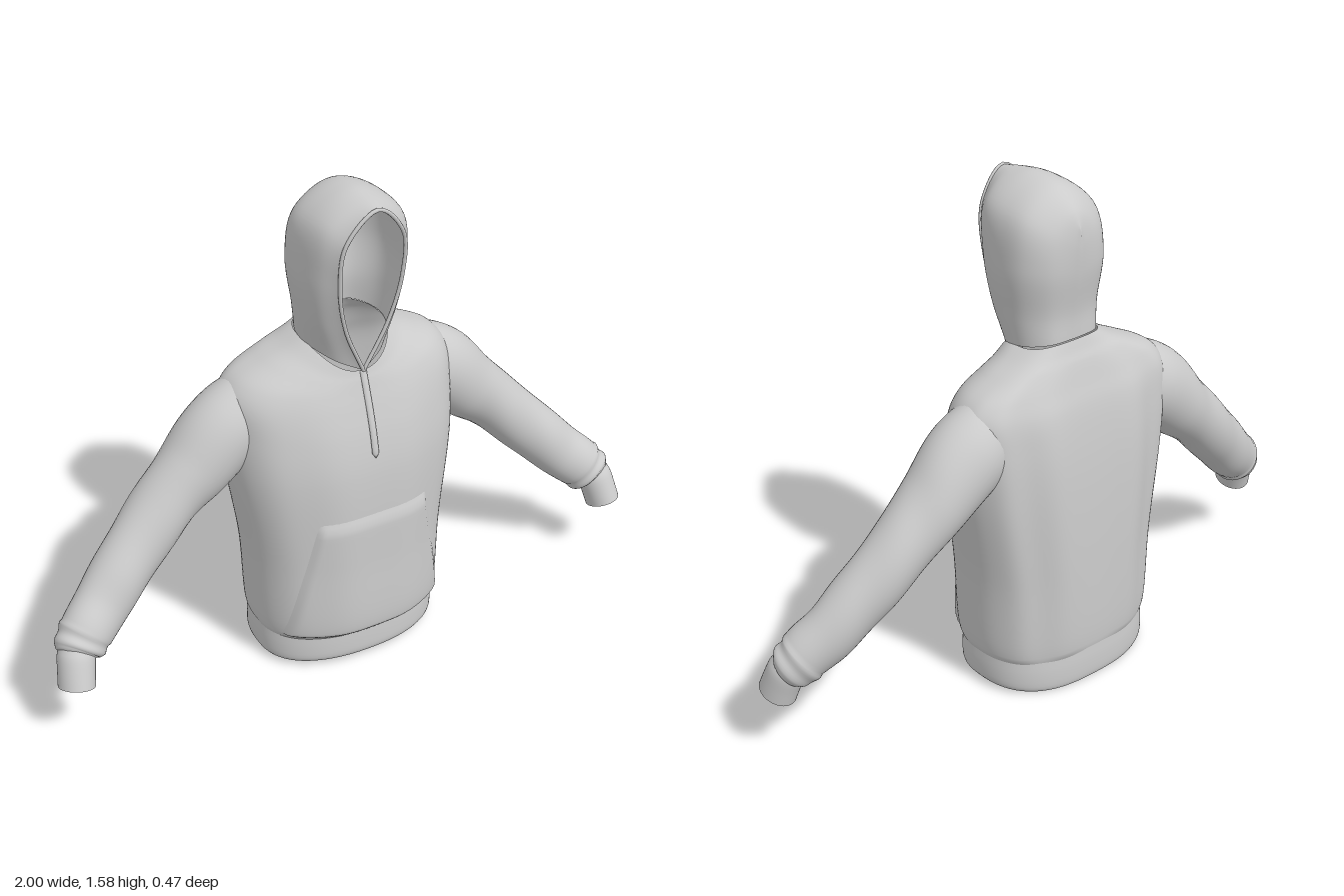
import * as THREE from 'three';
import { mergeVertices } from 'three/addons/utils/BufferGeometryUtils.js';

const V = (x, y, z) => new THREE.Vector3(x, y, z);
const cloth = new THREE.MeshStandardMaterial({ color: 0xcccccc, side: THREE.DoubleSide });

// Smooth surface from fn(u, v); coinciding border points are welded
function surface(name, fn, nu, nv) {
  const pos = [], index = [];
  for (let j = 0; j <= nv; j++)
    for (let i = 0; i <= nu; i++) pos.push(...fn(i / nu, j / nv).toArray());
  for (let j = 0; j < nv; j++)
    for (let i = 0; i < nu; i++) {
      const a = j * (nu + 1) + i, b = a + 1, c = a + nu + 1, d = c + 1;
      index.push(a, c, b, b, c, d);
    }
  let geo = new THREE.BufferGeometry();
  geo.setAttribute('position', new THREE.Float32BufferAttribute(pos, 3));
  geo.setIndex(index);
  geo = mergeVertices(geo, 1e-5);
  geo.computeVertexNormals();
  const mesh = new THREE.Mesh(geo, cloth);
  mesh.name = name;
  return mesh;
}

// Body rings: side y, front y, back y, half width, front z, back z, side z
const BODY = [
  [0.112, 0.115, 0.105, 0.296, 0.2, -0.222, 0],
  [0.14, 0.14, 0.135, 0.306, 0.219, -0.23, 0],
  [0.4, 0.4, 0.4, 0.322, 0.222, -0.235, 0],
  [0.7, 0.7, 0.7, 0.365, 0.213, -0.225, -0.02],
  [0.85, 0.82, 0.85, 0.375, 0.192, -0.21, -0.045],
  [0.95, 0.91, 0.94, 0.37, 0.165, -0.193, -0.055],
  [1.0, 0.96, 1.0, 0.335, 0.147, -0.172, -0.055],
  [1.045, 0.99, 1.06, 0.25, 0.136, -0.15, -0.045],
  [1.075, 1.005, 1.09, 0.185, 0.13, -0.135, -0.03],
  [1.105, 1.02, 1.122, 0.135, 0.125, -0.122, -0.01],
];
const HEM = [
  [0.018, 0.03, 0.005, 0.292, 0.197, -0.222, 0],
  [0.03, 0.042, 0.018, 0.3, 0.203, -0.226, 0],
  [0.075, 0.08, 0.07, 0.302, 0.204, -0.227, 0],
  [0.122, 0.125, 0.115, 0.298, 0.202, -0.224, 0],
];

// Point of a ring at angle a; a = PI / 2 is the front
function ringPoint([ys, yf, yb, w, f, b, zc], a) {
  const c = Math.cos(a), s = Math.sin(a), p = s > 0 ? 0.9 : 0.75;
  const k = Math.abs(s) ** p;
  return V(w * Math.sign(c) * Math.abs(c) ** p,
    ys + ((s > 0 ? yf : yb) - ys) * s * s,
    zc + ((s > 0 ? f : b) - zc) * k);
}
const column = (rings, a) => new THREE.CatmullRomCurve3(rings.map(r => ringPoint(r, a)));

// Body with soft vertical drape folds, strongest at the back
function bodyPoint(a, v) {
  const p = column(BODY, a).getPoint(v);
  const fade = Math.sin(Math.PI * Math.min(1, v * 1.25));
  const fold = (Math.sin(a) < 0 ? 0.008 : 0.003) * fade * Math.cos(a * 10) * Math.abs(Math.sin(a));
  p.x *= 1 + fold;
  p.z *= 1 + fold * 5;
  return p;
}

// Sleeve stations: centre x, y, z, then radius across and in depth
const SLEEVE = [
  [0.25, 0.9, -0.05, 0.12, 0.1], [0.35, 0.845, -0.052, 0.128, 0.118],
  [0.47, 0.74, -0.05, 0.11, 0.108], [0.58, 0.64, -0.042, 0.095, 0.095],
  [0.7, 0.52, -0.018, 0.092, 0.088], [0.8, 0.42, 0.012, 0.088, 0.08],
  [0.88, 0.347, 0.045, 0.083, 0.076], [0.918, 0.31, 0.063, 0.074, 0.068],
  [0.928, 0.298, 0.072, 0.055, 0.055],
];
const CUFF = [
  [0.922, 0.325, 0.066, 0.05, 0.05], [0.928, 0.3, 0.075, 0.056, 0.058],
  [0.938, 0.255, 0.092, 0.055, 0.06], [0.946, 0.215, 0.106, 0.054, 0.062],
];

// Tube with changing oval section; ripple(a, v) scales the radius
function tubePoint(stations, ripple) {
  const path = new THREE.CatmullRomCurve3(stations.map(s => V(s[0], s[1], s[2])));
  const radii = new THREE.CatmullRomCurve3(stations.map(s => V(s[3], s[4], s[0])));
  return (u, v) => {
    const a = u * Math.PI * 2, t = path.getTangent(v), r = radii.getPoint(v);
    const n = V(-t.y, t.x, 0).normalize(), b = t.clone().cross(n), k = 1 + ripple(a, v);
    return path.getPoint(v).addScaledVector(n, Math.cos(a) * r.x * k)
      .addScaledVector(b, Math.sin(a) * r.y * k);
  };
}
const sleeveFolds = (a, v) => Math.sin(Math.PI * v) * 0.035 * Math.sin(v * 34 + 2 * Math.sin(a + 1))
  * (0.6 + 0.4 * Math.cos(a * 2 + v * 6)) + (v > 0.75 ? 0.05 * Math.sin(v * 60 + a) * (1 - v) * 4 : 0);

// Hood sections from face opening to back seam, each from neck to crown
const HOOD = [
  [[0, 1.02, 0.13], [0.07, 1.18, 0.15], [0.1, 1.33, 0.17], [0.09, 1.47, 0.187], [0, 1.562, 0.2]],
  [[0.08, 1.06, 0.097], [0.126, 1.2, 0.105], [0.142, 1.35, 0.12], [0.12, 1.5, 0.13], [0, 1.573, 0.135]],
  [[0.135, 1.1, 0.02], [0.15, 1.2, 0.03], [0.163, 1.34, 0.035], [0.134, 1.5, 0.04], [0, 1.58, 0.06]],
  [[0.13, 1.11, -0.05], [0.14, 1.2, -0.045], [0.153, 1.35, -0.055], [0.124, 1.49, -0.05], [0, 1.563, -0.04]],
  [[0.085, 1.12, -0.105], [0.09, 1.2, -0.1], [0.1, 1.34, -0.114], [0.08, 1.45, -0.112], [0, 1.513, -0.108]],
  [[0, 1.125, -0.122], [0, 1.2, -0.121], [0, 1.32, -0.136], [0, 1.4, -0.14], [0, 1.455, -0.138]],
];
const hoodArcs = HOOD.map(h => new THREE.CatmullRomCurve3([
  ...h.map(p => V(...p)),
  ...h.slice(0, -1).reverse().map(([x, y, z]) => V(-x, y, z)),
]));

export function createModel() {
  const group = new THREE.Group();

  // Torso and ribbed hem band
  group.add(surface('torso', (u, v) => bodyPoint(-u * Math.PI * 2, v).clone(), 96, 72));
  group.add(surface('hemBand', (u, v) => column(HEM, -u * Math.PI * 2).getPoint(v), 96, 10));

  // Front pouch pocket, wide at the hem and narrower above
  const last = BODY.length - 1;
  group.add(surface('frontPocket', (u, v) => {
    const spread = THREE.MathUtils.lerp(1.13, 0.52, v);
    const p = bodyPoint(Math.PI / 2 + (u * 2 - 1) * spread, (0.95 + v * 1.6) / last);
    const lift = Math.min(1, 14 * Math.min(u, 1 - u, v * 1.5, 1 - v)) * 1.3 - 0.2;
    p.x *= 1 + 0.02 * lift;
    p.z += 0.01 * lift;
    return p;
  }, 40, 30));

  // Sleeves and cuffs, mirrored
  for (const side of [1, -1]) {
    const arm = new THREE.Group();
    arm.name = side > 0 ? 'leftArm' : 'rightArm';
    const build = (name, stations, ripple, nv) => {
      const at = tubePoint(stations, ripple);
      arm.add(surface(name, (u, v) => {
        const p = at(side > 0 ? 1 - u : u, v);
        p.x *= side;
        return p;
      }, 40, nv));
    };
    build('sleeve', SLEEVE, sleeveFolds, 72);
    build('cuff', CUFF, () => 0, 10);
    group.add(arm);
  }

  // Hood and its rolled rim
  group.add(surface('hood', (u, v) =>
    new THREE.CatmullRomCurve3(hoodArcs.map(c => c.getPoint(u))).getPoint(v), 64, 36));
  const rim = new THREE.Mesh(new THREE.TubeGeometry(hoodArcs[0], 80, 0.006, 8), cloth);
  rim.name = 'hoodRim';
  group.add(rim);

  // Flat placket running down the chest from the neck
  const front = column(BODY, Math.PI / 2);
  group.add(surface('placket', (u, v) => {
    const a = u * Math.PI * 2;
    const p = front.getPoint(THREE.MathUtils.lerp(1, 3.45 / last, v));
    const end = v === 0 || v === 1 ? 0 : 1;
    p.x += 0.011 * Math.cos(a) * end;
    p.z += 0.002 + 0.007 * Math.sin(a) * end;
    return p;
  }, 12, 40));

  return group;
}
